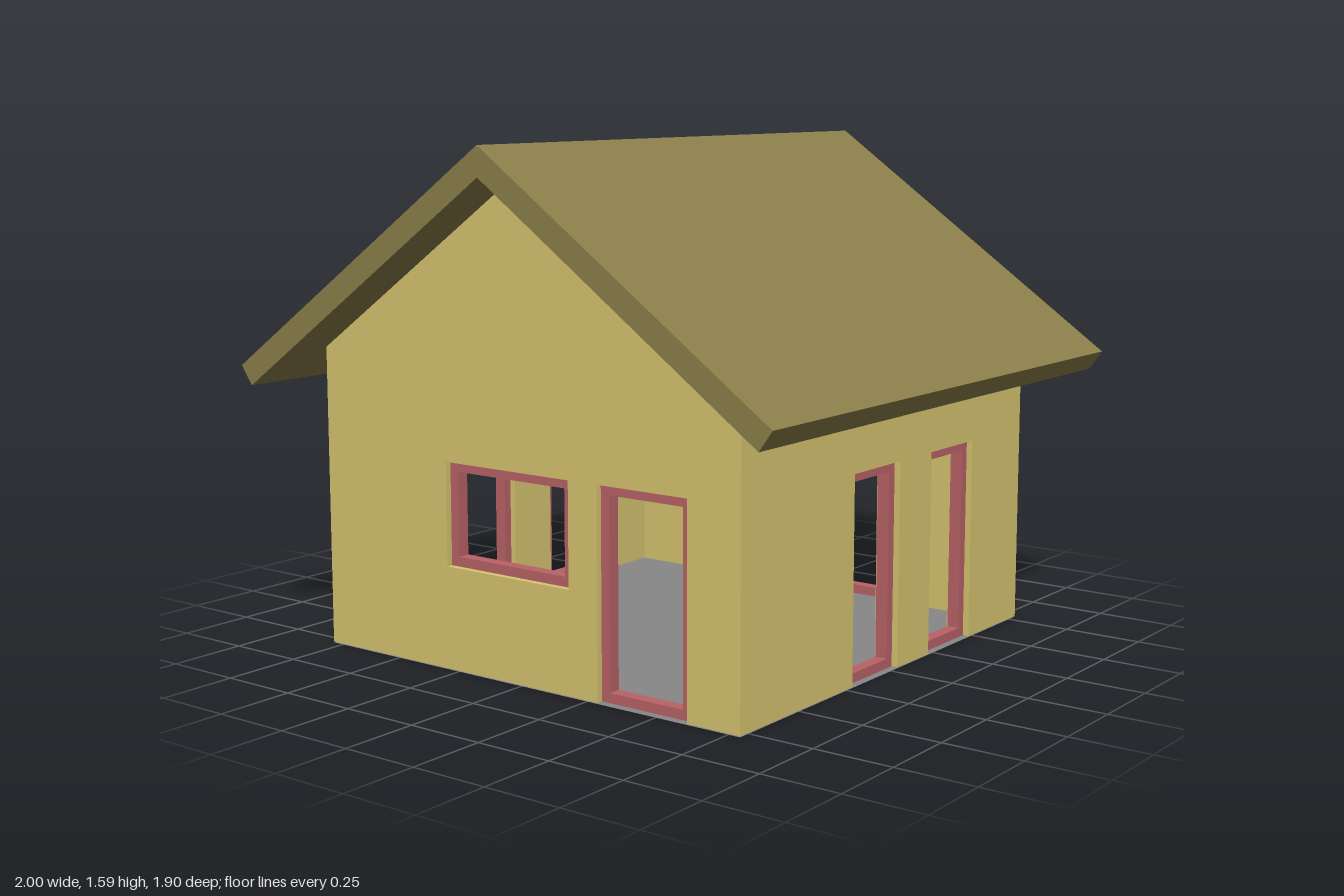
import * as THREE from 'three';

const HALF = 0.79, THICK = 0.08, FRAME = 0.03, BASE = 0.003;
const PITCH = 0.7;               // roof drop per unit of x
const RIDGE_UNDER = 1.5;

const mat = (color, side = THREE.FrontSide) => new THREE.MeshStandardMaterial({ color, side });
const wallMat = mat(0xd8c670);
const roofMat = mat(0x8c804b);
const frameMat = mat(0xb96366);
const floorMat = mat(0x888888, THREE.DoubleSide);

const poly = pts => pts.map(([x, y]) => new THREE.Vector2(x, y));
const rect = (x0, y0, x1, y1) => poly([[x0, y0], [x1, y0], [x1, y1], [x0, y1]]);

function extrude(name, shape, depth, z, material) {
  const geo = new THREE.ExtrudeGeometry(shape, { depth, bevelEnabled: false });
  geo.translate(0, 0, z);
  const mesh = new THREE.Mesh(geo, material);
  mesh.name = name;
  return mesh;
}

// Wall facing local +z, with openings [x0, x1, sill, head] in order of x
function makeWall(name, topPoints, halfWidth, openings, turn) {
  const group = new THREE.Group();
  group.name = name;

  // Openings that reach the ground are notches in the outline, others are holes
  const outline = [[-halfWidth, BASE]];
  for (const [x0, x1, sill, head] of openings) {
    if (sill <= BASE) outline.push([x0, BASE], [x0, head], [x1, head], [x1, BASE]);
  }
  outline.push([halfWidth, BASE], ...topPoints);
  const shape = new THREE.Shape(poly(outline));
  for (const [x0, x1, sill, head] of openings) {
    if (sill > BASE) shape.holes.push(new THREE.Path(rect(x0, sill, x1, head)));
  }
  group.add(extrude(name + 'Panel', shape, THICK, HALF - THICK, wallMat));

  // Frames set a little back inside each opening
  for (const [x0, x1, sill, head] of openings) {
    const border = new THREE.Shape(rect(x0, sill, x1, head));
    border.holes.push(new THREE.Path(
      rect(x0 + FRAME, sill + FRAME, x1 - FRAME, head - FRAME)));
    const kind = sill > BASE ? 'windowFrame' : 'doorFrame';
    group.add(extrude(kind, border, 0.04, HALF - 0.06, frameMat));
  }
  group.rotation.y = turn;
  return group;
}

export function createModel() {
  const house = new THREE.Group();
  house.name = 'house';
  const head = 0.64;

  // Gable walls
  const eave = RIDGE_UNDER - PITCH * HALF;
  const gable = [[HALF, eave], [0, RIDGE_UNDER], [-HALF, eave]];
  house.add(makeWall('frontWall', gable, HALF,
    [[-0.29, 0.185, 0.32, head], [0.29, 0.61, BASE, head]], 0));
  house.add(makeWall('backWall', gable, HALF,
    [[-0.42, 0.34, BASE, head]], Math.PI));

  // Side walls, fitted between the gables
  const inner = HALF - THICK;
  const flat = [[inner, eave], [-inner, eave]];
  house.add(makeWall('leftWall', flat, inner,
    [[-0.22, 0.035, BASE, head], [0.22, 0.475, BASE, head]], Math.PI / 2));
  house.add(makeWall('rightWall', flat, inner,
    [[-0.43, -0.175, BASE, head], [0.01, 0.265, BASE, head]], -Math.PI / 2));

  // Pitched roof with square-cut eaves
  const roofShape = new THREE.Shape(poly([
    [0, 1.59], [-1, 0.89], [-0.957, 0.83], [0, RIDGE_UNDER], [0.957, 0.83], [1, 0.89],
  ]));
  house.add(extrude('roof', roofShape, 1.9, -0.95, roofMat));

  // Floor
  const floor = new THREE.Mesh(new THREE.PlaneGeometry(HALF * 2, HALF * 2), floorMat);
  floor.name = 'floor';
  floor.rotation.x = -Math.PI / 2;
  house.add(floor);

  return house;
}
